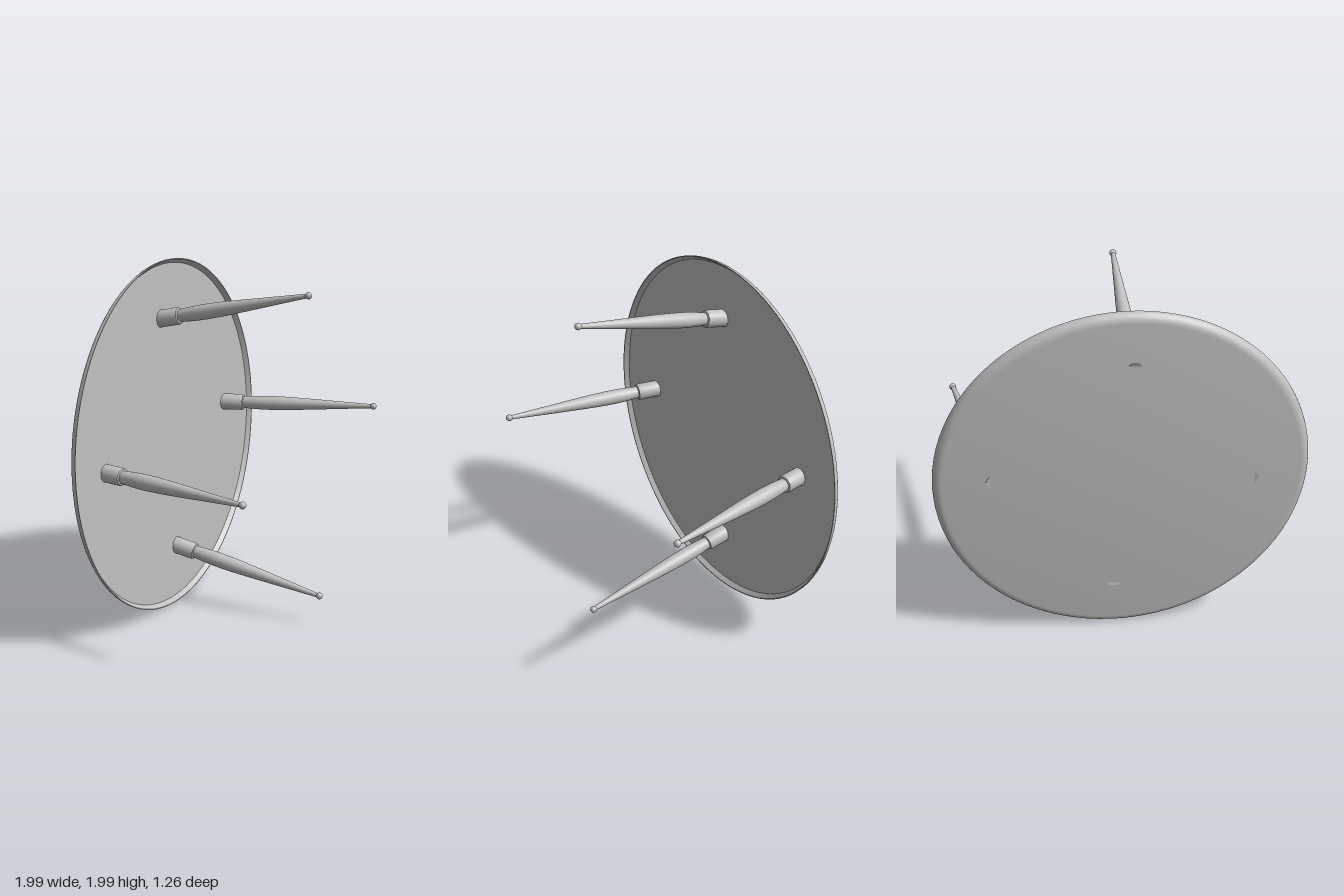
import * as THREE from 'three';
import { toCreasedNormals } from 'three/addons/utils/BufferGeometryUtils.js';

const grey = new THREE.MeshStandardMaterial({ color: 0xc0c0c0 });
grey.name = 'plain grey';

// Turned part: profile of [radius, height], sharp edges kept
function turned(profile, segments, crease = 0.6) {
  const points = profile.map(([r, h]) => new THREE.Vector2(r, h));
  return toCreasedNormals(new THREE.LatheGeometry(points, segments), crease);
}

// Table top: flat outer face, rounded edge, shallow recess with a slanted lip on the leg side
function makeTop() {
  const profile = [[0, -0.045], [0.945, -0.045]];
  for (let i = 1; i <= 6; i++) {
    const a = (i / 6) * Math.PI / 2;
    profile.push([0.945 + 0.05 * Math.sin(a), -0.045 * Math.cos(a)]);
  }
  profile.push([0.99, 0], [0.97, -0.025], [0, -0.025]);
  const top = new THREE.Mesh(turned(profile, 96), grey);
  top.name = 'tableTop';
  top.rotation.x = Math.PI / 2;
  return top;
}

// Collar with a bevelled end
const collarGeometry = turned(
  [[0, -0.04], [0.048, -0.04], [0.048, 0.085], [0.044, 0.097], [0.036, 0.1], [0, 0.1]], 28);

// Swelling, tapered shaft
const shaftCurve = new THREE.SplineCurve([
  [0.034, 0.095], [0.039, 0.16], [0.042, 0.25], [0.039, 0.38],
  [0.032, 0.52], [0.023, 0.68], [0.012, 0.88],
].map(([r, h]) => new THREE.Vector2(r, h)));
const shaftGeometry = new THREE.LatheGeometry(shaftCurve.getPoints(24), 28);

const footGeometry = new THREE.SphereGeometry(0.019, 20, 14);

function makeLeg() {
  const leg = new THREE.Group();
  leg.name = 'leg';
  const parts = { collar: collarGeometry, shaft: shaftGeometry, ballFoot: footGeometry };
  for (const [name, geometry] of Object.entries(parts)) {
    const mesh = new THREE.Mesh(geometry, grey);
    mesh.name = name;
    if (name === 'ballFoot') mesh.position.y = 0.89;
    leg.add(mesh);
  }
  return leg;
}

export function createModel() {
  const model = new THREE.Group();
  model.name = 'roundTable';

  // The table lies on its edge, legs pointing forward
  const table = new THREE.Group();
  table.name = 'tippedTable';
  table.add(makeTop());

  // Four splayed legs around the centre
  const splay = 0.196;
  for (let i = 0; i < 4; i++) {
    const a = i * Math.PI / 2;
    const leg = makeLeg();
    const out = new THREE.Vector3(Math.cos(a), Math.sin(a), 0);
    const direction = out.clone().multiplyScalar(Math.sin(splay));
    direction.z = Math.cos(splay);
    leg.position.copy(out).multiplyScalar(0.68);
    leg.quaternion.setFromUnitVectors(new THREE.Vector3(0, 1, 0), direction);
    table.add(leg);
  }

  table.rotation.set(-0.02, 0.187, 0.08);
  table.position.set(-0.02, 1.003, -0.415);
  model.add(table);
  return model;
}
